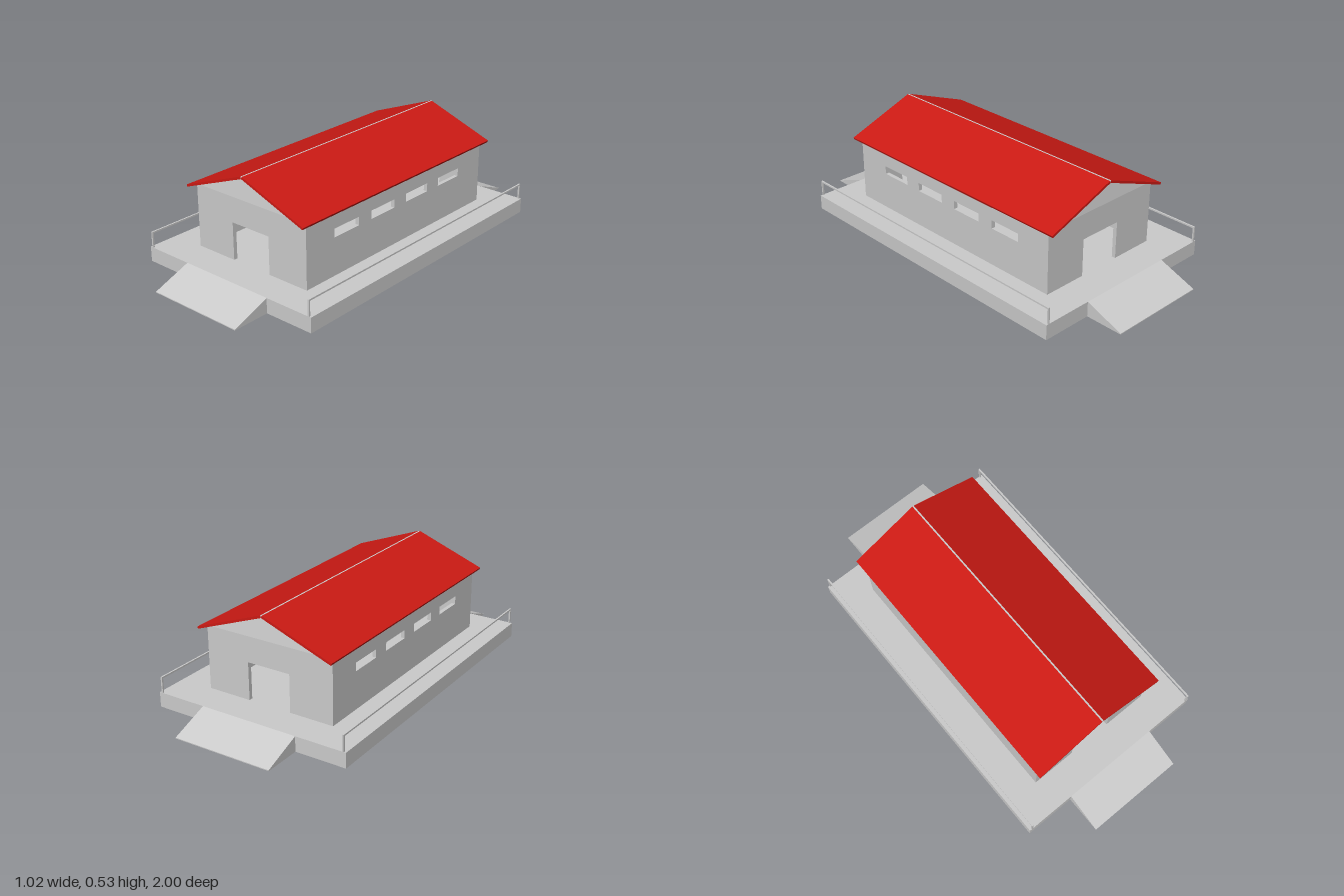
import * as THREE from 'three';

const grey = new THREE.MeshStandardMaterial({ color: 0xcccccc, flatShading: true });
const red = new THREE.MeshStandardMaterial({ color: 0xcc1a14, flatShading: true });

const FLOOR = 0.075, EAVE = 0.392, APEX = 0.52;
const HALF_W = 0.34, HALF_L = 0.65, WALL = 0.02;

function add(parent, name, geometry, material = grey) {
  const mesh = new THREE.Mesh(geometry, material);
  mesh.name = name;
  parent.add(mesh);
  return mesh;
}

function box(parent, name, w, h, d, x, y, z) {
  add(parent, name, new THREE.BoxGeometry(w, h, d)).position.set(x, y, z);
}

function polygon(points) {
  return new THREE.Shape(points.map(([x, y]) => new THREE.Vector2(x, y)));
}

function extrude(shape, depth) {
  return new THREE.ExtrudeGeometry(shape, { depth, bevelEnabled: false });
}

// End wall with doorway, and a gable leaning back to the wall's inner face
function createEnd() {
  const end = new THREE.Group();
  const wall = polygon([
    [-HALF_W, FLOOR], [-0.112, FLOOR], [-0.112, 0.264], [0.114, 0.264],
    [0.114, FLOOR], [HALF_W, FLOOR], [HALF_W, EAVE], [-HALF_W, EAVE],
  ]);
  add(end, 'endWall', extrude(wall, WALL)).position.z = HALF_L - WALL;

  const gable = extrude(polygon([[-HALF_W, EAVE], [HALF_W, EAVE], [0, APEX]]), WALL);
  const p = gable.attributes.position;
  for (let i = 0; i < p.count; i++) {
    if (p.getY(i) > EAVE + 0.01) p.setZ(i, Math.min(p.getZ(i), 0.001));
  }
  gable.computeVertexNormals();
  add(end, 'gable', gable).position.z = HALF_L - WALL;
  return end;
}

// Side wall with four slot windows
function createSideWall(side) {
  const inner = HALF_L - WALL;
  const shape = polygon([[-inner, FLOOR], [inner, FLOOR], [inner, EAVE], [-inner, EAVE]]);
  for (let i = 0; i < 4; i++) {
    const c = -0.382 + i * 0.2555, w = 0.084;
    shape.holes.push(polygon([[c - w, 0.264], [c - w, 0.306], [c + w, 0.306], [c + w, 0.264]]));
  }
  const geometry = extrude(shape, WALL);
  geometry.rotateY(-Math.PI / 2); // shape x runs along z
  geometry.translate(side > 0 ? HALF_W : -HALF_W + WALL, 0, 0);
  return geometry;
}

export function createModel() {
  const model = new THREE.Group();
  model.name = 'loadingShed';

  // Platform and the two ramps
  box(model, 'platform', 1.02, FLOOR, 1.62, 0, FLOOR / 2, 0);
  const rampProfile = polygon([[0.81, 0], [1, 0], [1, 0.004], [0.81, FLOOR]]);
  for (const dir of [1, -1]) {
    const ramp = extrude(rampProfile, 0.506);
    ramp.translate(0, 0, -0.253);
    ramp.rotateY(-dir * Math.PI / 2);
    add(model, dir > 0 ? 'frontRamp' : 'backRamp', ramp);
  }

  // Walls
  const front = createEnd();
  front.name = 'frontEnd';
  const back = createEnd();
  back.name = 'backEnd';
  back.rotation.y = Math.PI;
  back.scale.x = -1; // keeps both doorways aligned
  model.add(front, back);
  add(model, 'leftWall', createSideWall(1));
  add(model, 'rightWall', createSideWall(-1));

  // Roof slabs meeting under a thin ridge strip
  for (const s of [1, -1]) {
    const pts = [[0, APEX - 0.001], [s * 0.359, 0.385], [s * 0.363, 0.395], [s * 0.004, 0.53]];
    const slab = extrude(polygon(pts), 1.385);
    slab.translate(0, 0, -0.6925);
    add(model, s > 0 ? 'leftRoof' : 'rightRoof', slab, red);
  }
  const ridge = extrude(polygon([[0, APEX], [0.004, 0.53], [-0.004, 0.53]]), 1.385);
  ridge.translate(0, 0, -0.6925);
  add(model, 'ridge', ridge);

  // Railings along both long sides
  const t = 0.008;
  for (const s of [1, -1]) {
    const railing = new THREE.Group();
    railing.name = s > 0 ? 'leftRailing' : 'rightRailing';
    box(railing, 'handrail', t, t, 1.62, s * 0.495, 0.151, 0);
    for (const z of [0.806, -0.806]) {
      box(railing, 'post', t, 0.072, t, s * 0.495, 0.111, z);
    }
    model.add(railing);
  }
  return model;
}
